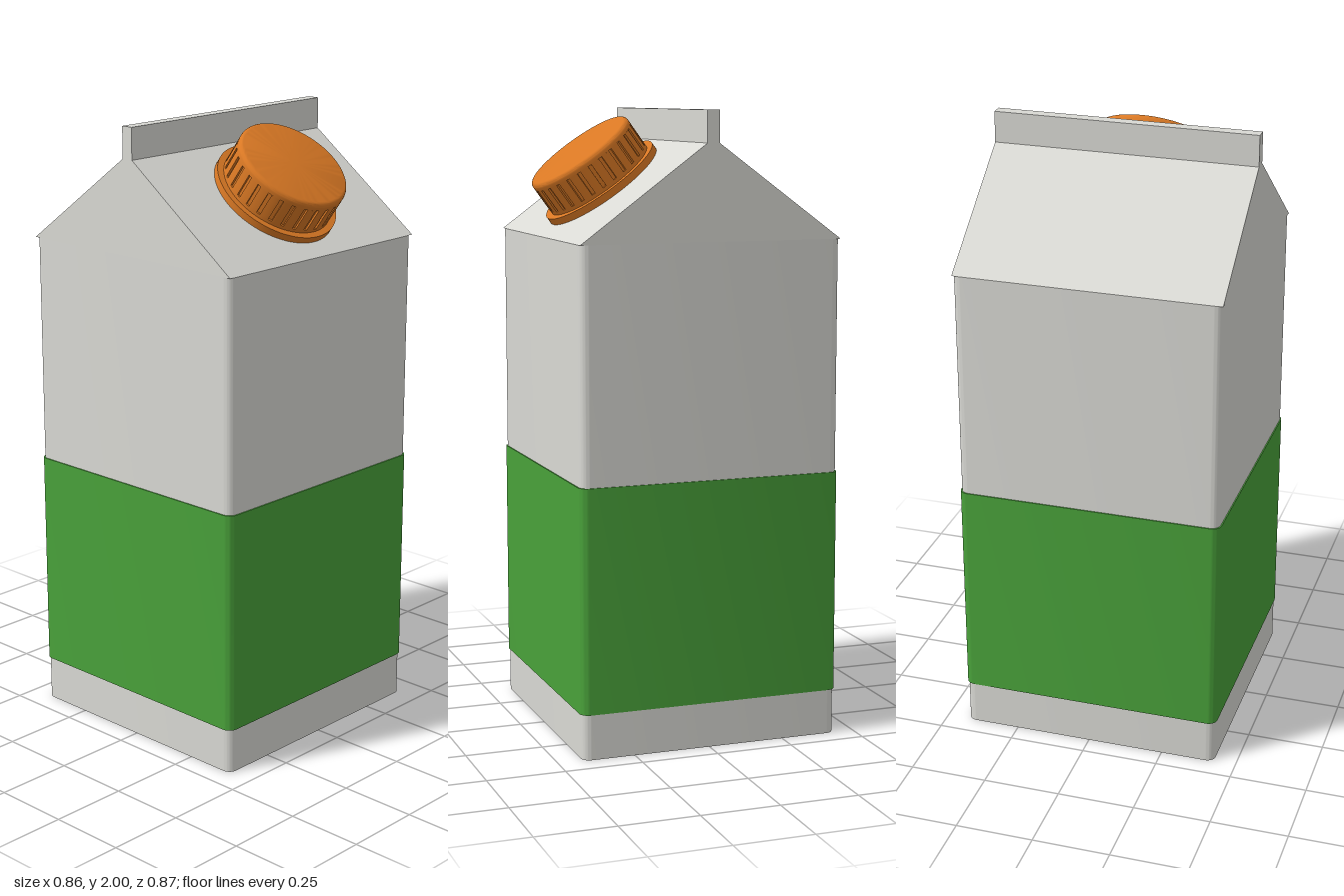
import * as THREE from 'three';
import { toCreasedNormals } from 'three/addons/utils/BufferGeometryUtils.js';

const HALF = 0.427, WALL_TOP = 1.6, RIDGE = 1.9, FIN = 0.02;

// Upright square column with rounded vertical edges
function column(half, radius, y0, y1) {
  const s = new THREE.Shape();
  const k = half - radius;
  s.absarc(k, k, radius, 0, Math.PI / 2);
  s.absarc(-k, k, radius, Math.PI / 2, Math.PI);
  s.absarc(-k, -k, radius, Math.PI, Math.PI * 1.5);
  s.absarc(k, -k, radius, Math.PI * 1.5, Math.PI * 2);
  s.closePath();
  const g = new THREE.ExtrudeGeometry(s, { depth: y1 - y0, bevelEnabled: false, curveSegments: 6 });
  g.rotateX(-Math.PI / 2).translate(0, y0, 0);
  return toCreasedNormals(g, 0.6);
}

// Disc-like part from a [radius, height] profile
function turned(profile) {
  const g = new THREE.LatheGeometry(profile.map(([r, y]) => new THREE.Vector2(r, y)), 84);
  return toCreasedNormals(g, 0.6);
}

// Cap wall with evenly spaced vertical grooves
function groovedWall(radius, depth, width, count, y0, y1) {
  const s = new THREE.Shape();
  const step = (Math.PI * 2) / count, w = width / radius / 2;
  const at = (r, a, first) => s[first ? 'moveTo' : 'lineTo'](r * Math.cos(a), r * Math.sin(a));
  for (let i = 0; i < count; i++) {
    const a = i * step;
    at(radius, a - w, i === 0);
    at(radius - depth, a - w);
    at(radius - depth, a + w);
    for (let j = 0; j < 3; j++) at(radius, a + w + (step - 2 * w) * j / 3);
  }
  s.closePath();
  const g = new THREE.ExtrudeGeometry(s, { depth: y1 - y0, bevelEnabled: false });
  g.rotateX(-Math.PI / 2).translate(0, y0, 0);
  return toCreasedNormals(g, 0.6);
}

export function createModel() {
  const card = new THREE.MeshStandardMaterial({ name: 'pale card', color: 0xd9d9d4 });
  const green = new THREE.MeshStandardMaterial({ name: 'green', color: 0x49a13a });
  const orange = new THREE.MeshStandardMaterial({ name: 'orange', color: 0xd97824 });

  const model = new THREE.Group();
  model.name = 'carton';
  const add = (parent, name, geometry, material) => {
    const mesh = new THREE.Mesh(geometry, material);
    mesh.name = name;
    parent.add(mesh);
    return mesh;
  };

  // Carton walls and the printed band around them
  add(model, 'body', column(HALF, 0.028, 0, WALL_TOP), card);
  add(model, 'band', column(HALF + 0.004, 0.03, 0.145, 0.86), green);

  // Gabled roof with square corners
  const gable = new THREE.Shape([
    new THREE.Vector2(-HALF, WALL_TOP), new THREE.Vector2(HALF, WALL_TOP),
    new THREE.Vector2(FIN, RIDGE), new THREE.Vector2(-FIN, RIDGE),
  ]);
  const roof = new THREE.ExtrudeGeometry(gable, { depth: HALF * 2, bevelEnabled: false });
  roof.translate(0, 0, -HALF).rotateY(Math.PI / 2);
  add(model, 'roof', roof, card);

  // Sealed fin along the ridge
  const fin = new THREE.BoxGeometry(HALF * 2, 2 - RIDGE, FIN * 2);
  fin.translate(0, (2 + RIDGE) / 2, 0);
  add(model, 'topFin', fin, card);

  // Screw cap standing square to the front roof slope
  const cap = new THREE.Group();
  cap.name = 'cap';
  const slope = (RIDGE - WALL_TOP) / (HALF - FIN);
  const capZ = 0.213;
  cap.position.set(0, WALL_TOP + slope * (HALF - capZ), capZ);
  cap.rotation.x = Math.atan(slope);
  model.add(cap);

  const R = 0.185, LOW = 0.035, HIGH = 0.117, TOP = 0.142, ROUND = 0.015;
  add(cap, 'capFlange', turned([[0, 0], [0.206, 0], [0.206, 0.023], [R, 0.023], [R, LOW], [0, LOW]]), orange);
  add(cap, 'capGrip', groovedWall(R, 0.007, 0.012, 28, LOW, HIGH), orange);
  const lid = [[0, HIGH], [R, HIGH]];
  for (let i = 0; i <= 5; i++) {
    const a = (i / 5) * Math.PI / 2;
    lid.push([R - ROUND + ROUND * Math.cos(a), TOP - ROUND + ROUND * Math.sin(a)]);
  }
  lid.push([0, TOP]);
  add(cap, 'capLid', turned(lid), orange);

  // The cap overhangs the front, so the carton sits slightly back
  model.position.z = -0.007;
  return model;
}
